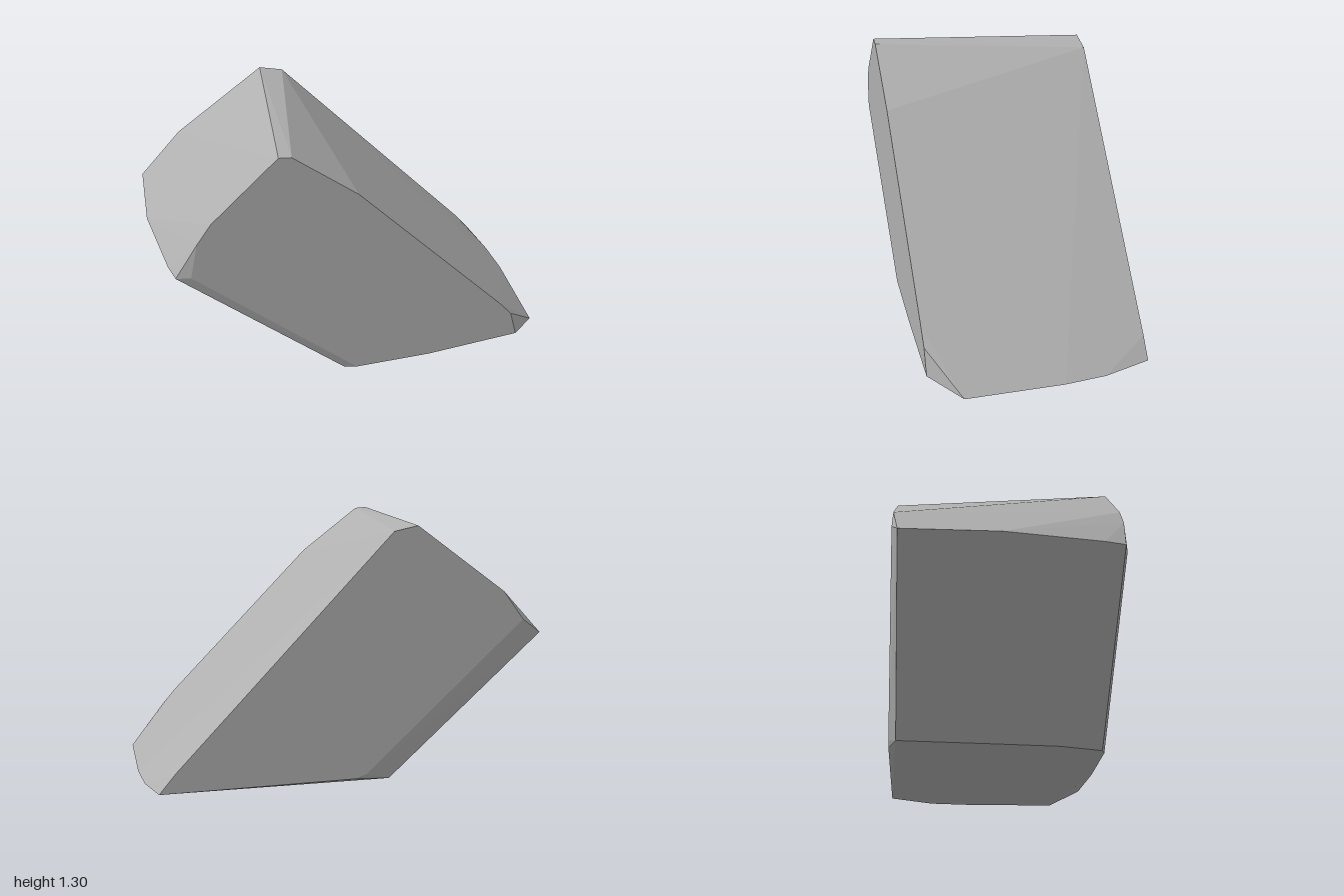
import * as THREE from 'three';
import { ConvexGeometry } from 'three/addons/geometries/ConvexGeometry.js';

// Outline of the flat front side (x, y) at z = 0.54
const frontOutline = [
  [-0.41, 1.3], [-0.35, 1.295], [-0.04, 1.06], [0.72, 0.29], [0.79, 0.21],
  [0.83, 0.07], [0.35, 0.025], [-0.04, 0.017], [-0.84, 0.72], [-0.8, 0.9], [-0.73, 1.0],
];

// Outline of the flat back side (x, y) at z = -0.54
const backOutline = [
  [-0.31, 1.255], [-0.19, 1.23], [0.87, 0.135], [0.95, 0.04],
  [0, 0.03], [-0.06, 0.05], [-0.88, 0.78], [-0.77, 0.925],
];

// Chipped edges lying between the two flat sides (x, y, z)
const chippedEdges = [
  // upper left edge
  [-0.99, 0.705, -0.51], [-1, 0.705, -0.05], [-0.935, 0.712, 0.42], [-0.91, 0.715, 0.52],
  // lower left edge
  [-0.19, 0.005, -0.5], [-0.19, 0, 0], [-0.17, 0.003, 0.3], [-0.1, 0.01, 0.52],
  // right tip
  [0.99, 0.025, -0.31], [1, 0.025, -0.1], [0.98, 0.025, 0.39],
];

export function createModel() {
  const stone = new THREE.MeshStandardMaterial({ color: 0xb0b0b0 });
  stone.name = 'greyStone';
  stone.flatShading = true;

  const points = [
    ...frontOutline.map(([x, y]) => new THREE.Vector3(x, y, 0.54)),
    ...backOutline.map(([x, y]) => new THREE.Vector3(x, y, -0.54)),
    ...chippedEdges.map((p) => new THREE.Vector3(...p)),
  ];

  // Faceted leaning rock
  const rock = new THREE.Mesh(new ConvexGeometry(points), stone);
  rock.name = 'rock';

  const model = new THREE.Group();
  model.name = 'leaningRock';
  model.add(rock);
  return model;
}
